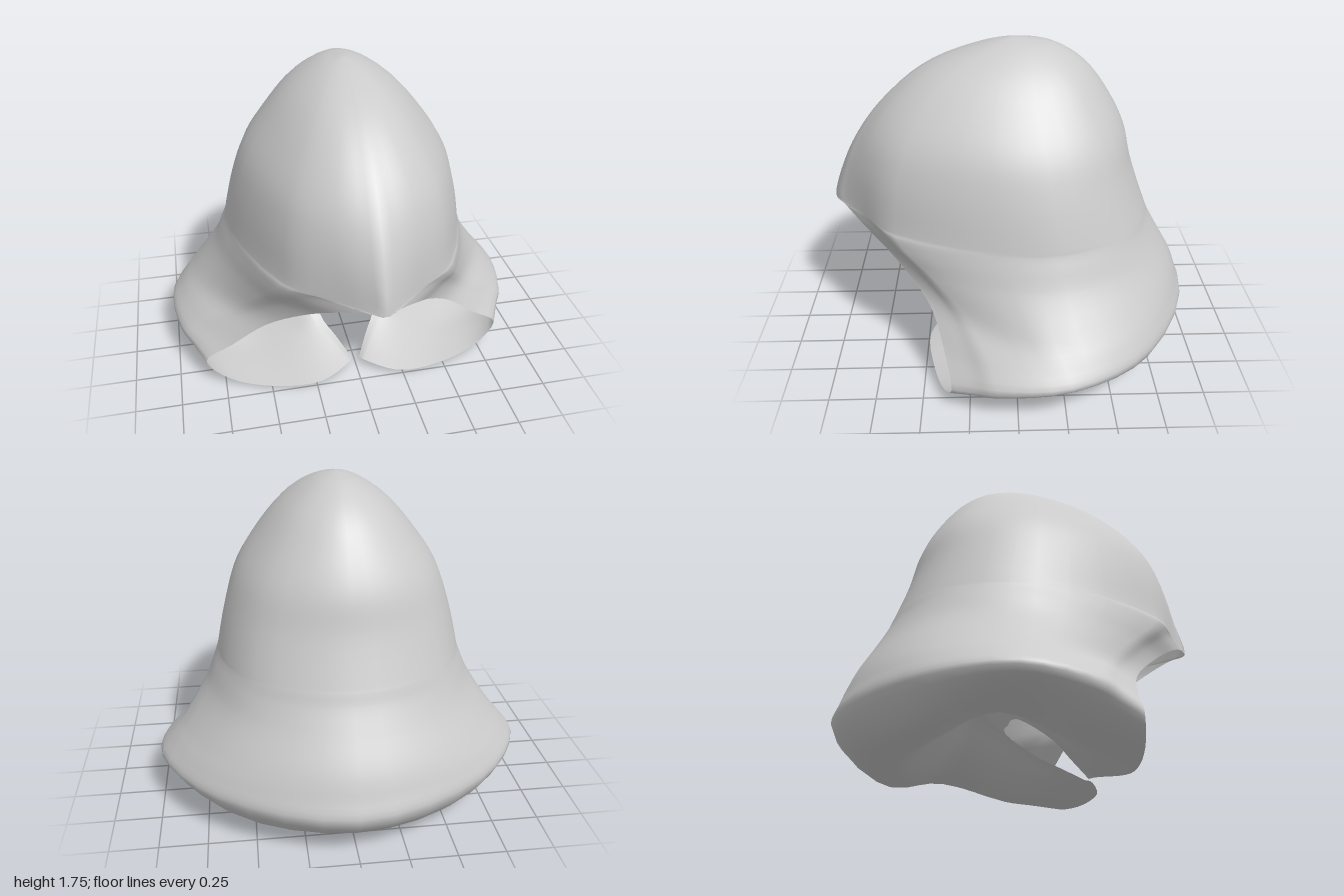
import * as THREE from 'three';
import { mergeVertices } from 'three/addons/utils/BufferGeometryUtils.js';

// Half outline of a closed hood level: front, brow, cheek, side, back corner, back.
// keel runs from 0 (round front) to 1 (pointed front).
function level(y, frontZ, sideX, sideZ, backZ, keel) {
  const at = (u, v, end) => [sideX * u, y, sideZ + (end - sideZ) * v];
  return [
    at(0, 1, frontZ),
    at(0.36 - 0.06 * keel, 0.93 - 0.08 * keel, frontZ),
    at(0.72 - 0.06 * keel, 0.7 - 0.04 * keel, frontZ),
    at(1, 0, frontZ),
    at(0.72, 0.72, backZ),
    at(0, 1, backZ),
  ];
}

// Crown, from the top down to the peak above the face
const crown = [
  level(1.755, 0, 0, 0, 0, 0),
  level(1.72, 0.17, 0.12, -0.01, -0.22, 0),
  level(1.61, 0.46, 0.28, -0.01, -0.39, 0),
  level(1.45, 0.67, 0.42, -0.02, -0.51, 0),
  level(1.27, 0.82, 0.54, -0.04, -0.6, 0.2),
  level(1.07, 0.93, 0.61, -0.07, -0.65, 0.6),
  level(0.84, 1.0, 0.66, -0.1, -0.73, 1),
];

// Skirt beside the face opening, flaring out to the rim
const skirt = [
  [[0.08, 0.825, 0.94], [0.45, 0.815, 0.62], [0.665, 0.815, -0.1], [0.48, 0.815, -0.56], [0, 0.815, -0.74]],
  [[0.21, 0.76, 0.82], [0.48, 0.75, 0.57], [0.69, 0.75, -0.11], [0.5, 0.75, -0.57], [0, 0.75, -0.765]],
  [[0.34, 0.635, 0.65], [0.55, 0.63, 0.43], [0.74, 0.63, -0.13], [0.53, 0.63, -0.61], [0, 0.63, -0.83]],
  [[0.52, 0.45, 0.46], [0.68, 0.45, 0.25], [0.86, 0.45, -0.18], [0.61, 0.46, -0.67], [0, 0.47, -0.92]],
  [[0.7, 0.28, 0.38], [0.87, 0.32, 0.14], [0.945, 0.34, -0.24], [0.66, 0.35, -0.7], [0, 0.35, -0.965]],
  [[0.85, 0.15, 0.34], [0.97, 0.21, 0.1], [0.995, 0.25, -0.27], [0.69, 0.24, -0.71], [0, 0.24, -0.995]],
];

// Collar turned under the rim, rising to a crest and ending at the neck hole
const collar = [
  [[0.73, 0.05, 0.39], [0.83, 0.1, 0.08], [0.82, 0.18, -0.28], [0.57, 0.08, -0.63], [0, 0.1, -0.87]],
  [[0.48, 0.008, 0.46], [0.58, 0.065, 0.13], [0.58, 0.18, -0.26], [0.39, 0.09, -0.52], [0, 0.06, -0.65]],
  [[0.22, 0.025, 0.49], [0.36, 0.13, 0.14], [0.385, 0.275, -0.22], [0.25, 0.23, -0.38], [0, 0.25, -0.42]],
  [[0.04, 0.05, 0.39], [0.22, 0.19, 0.14], [0.2, 0.435, -0.2], [0.11, 0.44, -0.23], [0, 0.44, -0.24]],
  [[0.02, 0.045, 0.36], [0.16, 0.2, 0.12], [0.14, 0.3, -0.05], [0.08, 0.315, -0.08], [0, 0.31, -0.08]],
];

// Brow point halfway between the front edge and the cheek
const withBrow = ([edge, cheek, ...rest]) => [edge, edge.map((v, k) => (v + cheek[k]) / 2), cheek, ...rest];

// Smooth sheet through the rows, each mirrored from its left half
function sheet(rows, across, down) {
  const lines = rows.map((half) => {
    const other = half.slice(0, -1).reverse().map(([x, y, z]) => [-x, y, z]);
    const curve = new THREE.CatmullRomCurve3([...half, ...other].map((p) => new THREE.Vector3(...p)));
    return curve.getPoints(across);
  });
  const positions = [];
  const index = [];
  for (let j = 0; j <= across; j++) {
    const column = new THREE.CatmullRomCurve3(lines.map((line) => line[j])).getPoints(down);
    const side = Math.sign(across / 2 - j);
    for (const p of column) {
      // Keep each half on its own side of the middle
      positions.push(side * Math.max(0, p.x * side), Math.max(0, p.y), p.z);
    }
  }
  const n = down + 1;
  for (let j = 0; j < across; j++) {
    for (let i = 0; i < down; i++) {
      const a = j * n + i;
      const d = a + n;
      index.push(a, a + 1, d + 1);
      if (i > 0) index.push(a, d + 1, d);
    }
  }
  const geometry = new THREE.BufferGeometry();
  geometry.setAttribute('position', new THREE.Float32BufferAttribute(positions, 3));
  geometry.setIndex(index);
  const merged = mergeVertices(geometry, 1e-4);
  merged.computeVertexNormals();
  return merged;
}

export function createModel() {
  const group = new THREE.Group();
  group.name = 'hood';
  const cloth = new THREE.MeshStandardMaterial({ color: 0xcccccc, side: THREE.DoubleSide });
  const rows = [...crown, ...skirt.map(withBrow), ...collar.map(withBrow)];
  const hood = new THREE.Mesh(sheet(rows, 40, 68), cloth);
  hood.name = 'hoodWithCollar';
  group.add(hood);
  return group;
}
